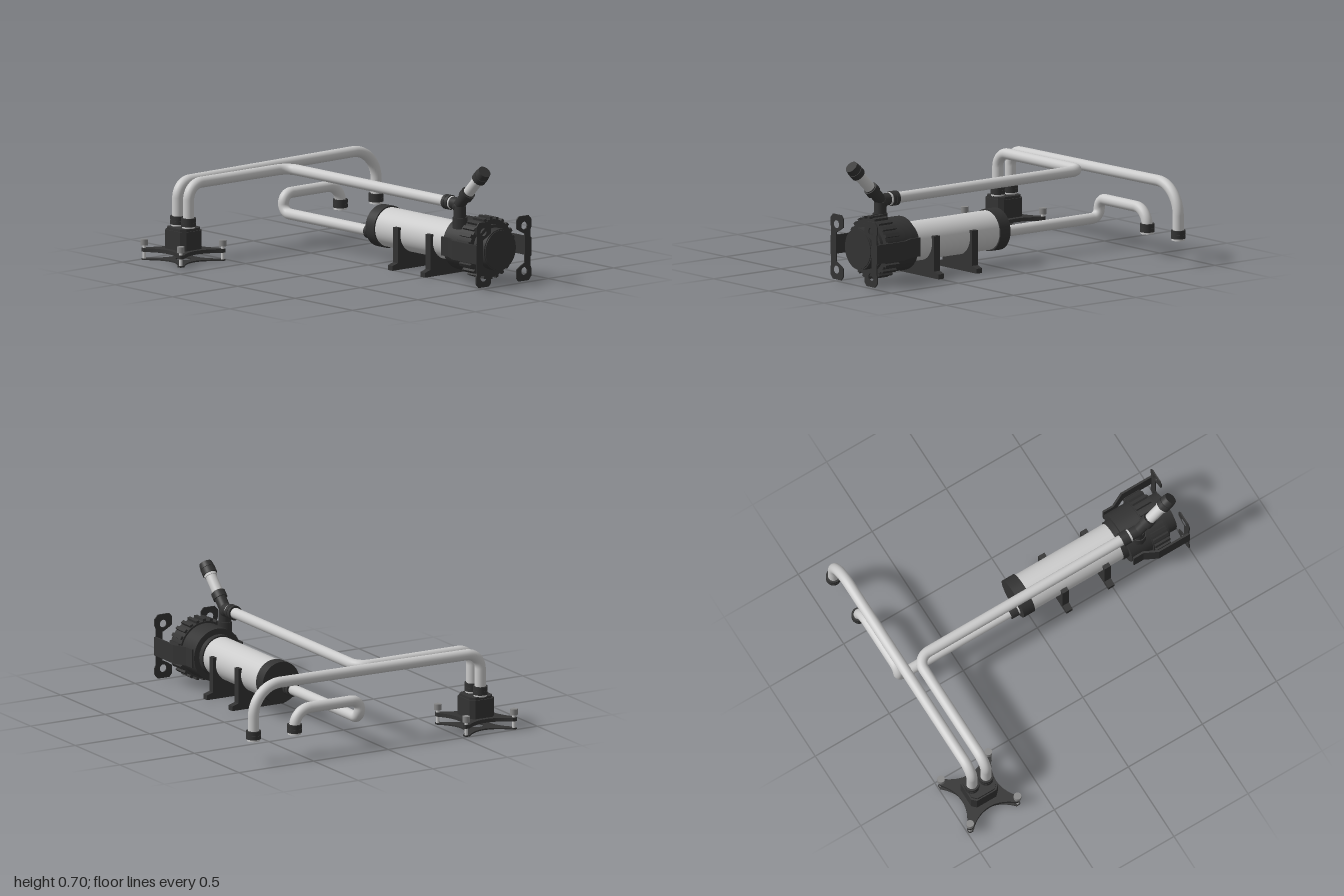
import * as THREE from 'three';

const grey = new THREE.MeshStandardMaterial({ color: 0xcccccc });
const dark = new THREE.MeshStandardMaterial({ color: 0x333333 });
const steel = new THREE.MeshStandardMaterial({ color: 0x888888 });
const V = (x, y, z) => new THREE.Vector3(x, y, z);
const CX = 0.16, CY = 0.205; // axis of reservoir and pump

export function createModel() {
  const root = new THREE.Group();

  const add = (name, geo, mat, parent = root) => {
    const m = new THREE.Mesh(geo, mat);
    m.name = name;
    parent.add(m);
    return m;
  };

  // Solid cylinder between two points
  const rod = (name, a, b, r, mat, parent = root, sides = 32, r2 = r) => {
    const dir = b.clone().sub(a);
    const m = add(name, new THREE.CylinderGeometry(r2, r, dir.length(), sides), mat, parent);
    m.position.copy(a).add(b).multiplyScalar(0.5);
    m.quaternion.setFromUnitVectors(V(0, 1, 0), dir.normalize());
    return m;
  };

  const axial = (name, z0, z1, r, mat, parent, sides = 48) =>
    rod(name, V(CX, CY, z0), V(CX, CY, z1), r, mat, parent, sides);

  const extrude = (name, shape, depth, mat, parent = root) =>
    add(name, new THREE.ExtrudeGeometry(shape, { depth, bevelEnabled: false, curveSegments: 20 }), mat, parent);

  const polygon = pts => new THREE.Shape(pts.map(p => new THREE.Vector2(p[0], p[1])));

  // Rigid tube through corner points, each corner rounded by its radius
  const pipe = (name, pts, radii) => {
    const path = new THREE.CurvePath();
    let last = pts[0];
    for (let i = 1; i < pts.length - 1; i++) {
      const p = pts[i], r = radii[i - 1];
      const u = pts[i - 1].clone().sub(p).normalize();
      const v = pts[i + 1].clone().sub(p).normalize();
      const at = (d, k) => p.clone().addScaledVector(d, r * k);
      path.add(new THREE.LineCurve3(last, at(u, 1)));
      path.add(new THREE.CubicBezierCurve3(at(u, 1), at(u, 0.448), at(v, 0.448), at(v, 1)));
      last = at(v, 1);
    }
    path.add(new THREE.LineCurve3(last, pts[pts.length - 1]));
    add(name, new THREE.TubeGeometry(path, 160, 0.032, 20), grey);
  };

  // Compression fitting: light collar at the base, dark stepped nut towards the tube
  const fitting = (name, base, dir) => {
    const g = new THREE.Group();
    g.name = name;
    root.add(g);
    const at = d => base.clone().addScaledVector(dir, d);
    rod('collar', at(0), at(0.015), 0.038, grey, g);
    rod('lowerNut', at(0.012), at(0.034), 0.043, dark, g);
    rod('nutGroove', at(0.034), at(0.038), 0.04, dark, g);
    rod('upperNut', at(0.038), at(0.06), 0.043, dark, g);
  };

  // Reservoir
  axial('reservoirTube', 0, 0.615, 0.115, grey);
  axial('reservoirRearCap', -0.067, 0.008, 0.123, dark);
  axial('reservoirFrontCap', 0.61, 0.655, 0.123, dark);

  // Pump with ribbed clamp ring
  const pump = new THREE.Group();
  pump.name = 'pump';
  root.add(pump);
  axial('pumpBody', 0.645, 0.79, 0.157, dark, pump);
  axial('clampRing', 0.785, 0.89, 0.168, dark, pump);
  axial('motorShoulder', 0.89, 0.91, 0.14, dark, pump);
  axial('motorHousing', 0.905, 0.965, 0.122, dark, pump);
  axial('motorFace', 0.965, 0.97, 0.115, dark, pump);
  for (let i = 0; i < 24; i++) {
    const a = (i / 24) * Math.PI * 2;
    const rib = add('ringRib', new THREE.BoxGeometry(0.03, 0.02, 0.1), dark, pump);
    rib.position.set(CX + 0.167 * Math.cos(a), CY + 0.167 * Math.sin(a), 0.84);
    rib.rotation.z = a;
  }

  // Pump side brackets: bent strap and eared mounting plate
  for (const s of [-1, 1]) {
    const g = new THREE.Group();
    g.name = s > 0 ? 'leftPumpBracket' : 'rightPumpBracket';
    root.add(g);
    const X = d => CX + s * d;
    const strap = [[0.212, 1], [0.212, 0.79], [0.172, 0.71], [0.172, 0.645],
      [0.16, 0.645], [0.16, 0.713], [0.2, 0.793], [0.2, 1]];
    const m = extrude('strap', polygon(strap.map(([x, z]) => [X(x), -z])), 0.11, dark, g);
    m.rotation.x = -Math.PI / 2;
    m.position.y = 0.15;
    const half = [[0.205, 0.11], [0.212, 0.125], [0.212, 0.165], [0.19, 0.19], [0.115, 0.19],
      [0.098, 0.17], [0.098, 0.12], [0.13, 0.1], [0.16, 0.085]];
    const outline = [...half, ...half.map(([x, y]) => [x, -y]).reverse()];
    const plate = polygon(outline.map(([x, y]) => [X(x), 0.2 + y]));
    for (const y of [-0.133, 0.133]) {
      const hole = new THREE.Path();
      hole.absarc(X(0.156), 0.2 + y, 0.023, 0, Math.PI * 2, true);
      plate.holes.push(hole);
    }
    extrude('mountingPlate', plate, 0.008, dark, g).position.z = 0.992;
  }

  // Reservoir cradles
  for (const z of [0.187, 0.47]) {
    const c = new THREE.Shape();
    const r = 0.116, a = Math.asin(0.04 / r);
    c.moveTo(-0.175, 0);
    c.lineTo(0.175, 0);
    c.lineTo(0.175, 0.028);
    c.lineTo(0.135, 0.04);
    c.lineTo(0.135, CY + 0.04);
    c.lineTo(r * Math.cos(a), CY + 0.04);
    c.absarc(0, CY, r, a, -Math.PI - a, true);
    c.lineTo(-0.135, CY + 0.04);
    c.lineTo(-0.135, 0.04);
    c.lineTo(-0.175, 0.028);
    extrude('reservoirCradle', c, 0.042, dark).position.set(CX, 0, z);
  }

  // Cooling block with cross-shaped mounts and thumb screws
  const block = new THREE.Group();
  block.name = 'coolingBlock';
  block.position.set(-0.695, 0, -0.82);
  root.add(block);
  const prism = (name, w, d, cut, y, h) => {
    const x = w / 2, z = d / 2;
    const m = extrude(name, polygon([[x - cut, -z], [x, cut - z], [x, z - cut], [x - cut, z],
      [cut - x, z], [-x, z - cut], [-x, cut - z], [cut - x, -z]]), h, dark, block);
    m.rotation.x = -Math.PI / 2;
    m.position.y = y;
  };
  prism('blockBody', 0.165, 0.18, 0.025, 0.05, 0.13);
  prism('blockTop', 0.15, 0.165, 0.025, 0.18, 0.015);
  const cross = (name, y, h, ctrl, holeR) => {
    const shape = new THREE.Shape();
    const t = 0.16, w = 0.014;
    shape.moveTo(t + w, t - w);
    for (let i = 0; i < 4; i++) {
      const rot = (x, z) => {
        const k = i * Math.PI / 2, c = Math.cos(k), n = Math.sin(k);
        return [x * c - z * n, x * n + z * c];
      };
      shape.lineTo(...rot(t + w, t + w * 0.6));
      shape.lineTo(...rot(t + w * 0.6, t + w));
      shape.lineTo(...rot(t - w, t + w));
      shape.quadraticCurveTo(...rot(0, ctrl), ...rot(w - t, t + w));
    }
    if (holeR) {
      const hole = new THREE.Path();
      hole.absarc(0, 0, holeR, 0, Math.PI * 2, true);
      shape.holes.push(hole);
    }
    const m = extrude(name, shape, h, dark, block);
    m.rotation.x = -Math.PI / 2;
    m.position.y = y;
  };
  cross('mountCross', 0.048, 0.022, 0.055, 0);
  cross('backPlate', 0, 0.008, 0.02, 0.045);
  for (const x of [-0.16, 0.16]) for (const z of [-0.16, 0.16]) {
    rod('screwShaft', V(x, 0.004, z), V(x, 0.09, z), 0.01, grey, block, 16);
    rod('thumbScrew', V(x, 0.085, z), V(x, 0.12, z), 0.022, steel, block, 24);
  }

  // Rigid tubes
  pipe('outletTube', [V(-0.695, 0.2, -0.87), V(-0.695, 0.45, -0.87), V(0.825, 0.462, -0.87),
    V(0.825, 0.15, -0.87)], [0.09, 0.18]);
  pipe('pumpTube', [V(-0.695, 0.2, -0.775), V(-0.695, 0.45, -0.775), V(0.065, 0.45, -0.775),
    V(0.065, 0.45, 0.64)], [0.09, 0.08]);
  pipe('returnTube', [V(0.113, 0.17, -0.08), V(0.113, 0.17, -0.867), V(0.113, 0.282, -0.867),
    V(0.548, 0.282, -0.867), V(0.548, 0.15, -0.867)], [0.055, 0.055, 0.1]);

  // Fittings at the tube ends
  const up = V(0, 1, 0), back = V(0, 0, -1);
  fitting('blockOutletFitting', V(-0.695, 0.193, -0.87), up);
  fitting('blockInletFitting', V(-0.695, 0.193, -0.775), up);
  fitting('outletEndFitting', V(0.825, 0.137, -0.87), up);
  fitting('returnEndFitting', V(0.548, 0.137, -0.867), up);
  fitting('reservoirFitting', V(0.113, 0.17, -0.065), back);
  fitting('pumpFitting', V(0.065, 0.45, 0.665), back);

  // Branch connector on the pump and angled fill port
  const hub = V(0.065, 0.44, 0.71), slant = V(0, 1, 1).normalize();
  const along = d => hub.clone().addScaledVector(slant, d);
  rod('branchStem', V(0.065, 0.31, 0.725), V(0.065, 0.44, 0.725), 0.036, dark);
  rod('stemFlange', V(0.065, 0.31, 0.725), V(0.065, 0.375, 0.725), 0.043, dark, root, 8);
  rod('branchInlet', V(0.065, 0.45, 0.655), V(0.065, 0.45, 0.715), 0.036, dark);
  add('branchHub', new THREE.SphereGeometry(0.038, 24, 16), dark).position.copy(hub);
  rod('branchArm', hub, along(0.13), 0.034, dark);
  rod('fillPortNut', along(0.085), along(0.125), 0.042, dark);
  rod('fillPortTube', along(0.12), along(0.27), 0.032, grey);
  rod('fillPortCollar', along(0.235), along(0.25), 0.037, grey);
  rod('fillPortCap', along(0.25), along(0.285), 0.043, dark);
  rod('fillPortCapEnd', along(0.29), along(0.325), 0.043, dark, root, 32, 0.038);
  rod('fillPortCapGroove', along(0.28), along(0.295), 0.039, dark);

  return root;
}
